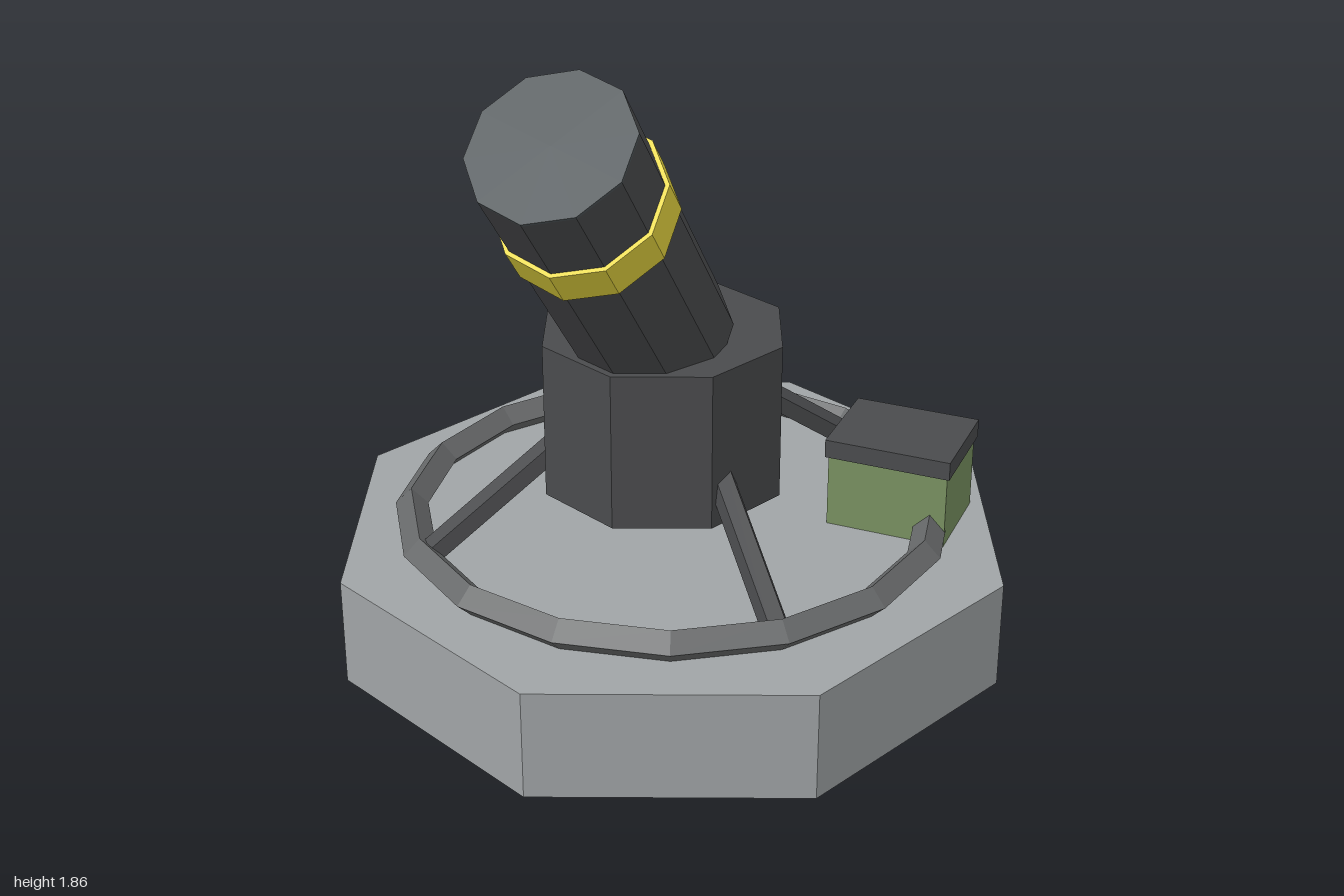
import * as THREE from 'three';

const paint = (color) => new THREE.MeshStandardMaterial({ color, flatShading: true });

export function createModel() {
  const model = new THREE.Group();
  const stone = paint(0xa0a4a6), iron = paint(0x4a4b4d), steel = paint(0x67696a);
  const muzzleGrey = paint(0x4c5356), yellow = paint(0xe8d840), green = paint(0x789060);

  const add = (parent, name, geometry, material, x, y, z) => {
    const mesh = new THREE.Mesh(geometry, material);
    mesh.name = name;
    mesh.position.set(x, y, z);
    parent.add(mesh);
    return mesh;
  };
  const prism = (r, h, sides) => new THREE.CylinderGeometry(r, r, h, sides);

  // Octagonal plinth and turret block
  add(model, 'base', prism(1, 0.32, 8), stone, 0, 0.16, 0);
  add(model, 'pedestal', prism(0.357, 0.46, 8), iron, 0, 0.735, 0.07);

  // Ring with a diamond section, lying on the plinth
  const ring = add(model, 'ring', new THREE.TorusGeometry(0.767, 0.048, 4, 16), steel, 0, 0.365, 0);
  ring.rotation.x = -Math.PI / 2;

  // Four slanted struts from the ring into the pedestal
  for (const sx of [-1, 1]) {
    for (const sz of [-1, 1]) {
      const foot = new THREE.Vector3(sx * 0.53, 0.35, sz * 0.53);
      const head = new THREE.Vector3(sx * 0.16, 0.72, sz * 0.16);
      const along = head.clone().sub(foot);
      const mid = foot.clone().add(head).multiplyScalar(0.5);
      const strut = add(model, 'strut', prism(0.04, along.length(), 5), iron, mid.x, mid.y, mid.z);
      strut.quaternion.setFromUnitVectors(new THREE.Vector3(0, 1, 0), along.normalize());
    }
  }

  // Barrel group, pitched forward, with its origin at the breech
  const barrel = new THREE.Group();
  barrel.name = 'barrelAssembly';
  barrel.position.set(0, 0.962, 0.1155);
  barrel.rotation.x = THREE.MathUtils.degToRad(40);
  model.add(barrel);
  add(barrel, 'barrel', prism(0.22, 0.975, 10), iron, 0, 0.4875, 0);
  add(barrel, 'muzzleFace', prism(0.22, 0.008, 10), muzzleGrey, 0, 0.979, 0);
  add(barrel, 'collar', prism(0.232, 0.118, 10), yellow, 0, 0.685, 0);

  // Crate with an overhanging lid
  const crate = new THREE.Group();
  crate.name = 'crate';
  crate.position.set(0.606, 0.32, -0.285);
  model.add(crate);
  add(crate, 'crateBody', new THREE.BoxGeometry(0.355, 0.22, 0.28), green, 0, 0.11, 0);
  add(crate, 'crateLid', new THREE.BoxGeometry(0.372, 0.055, 0.3), iron, 0, 0.2475, 0);

  return model;
}
